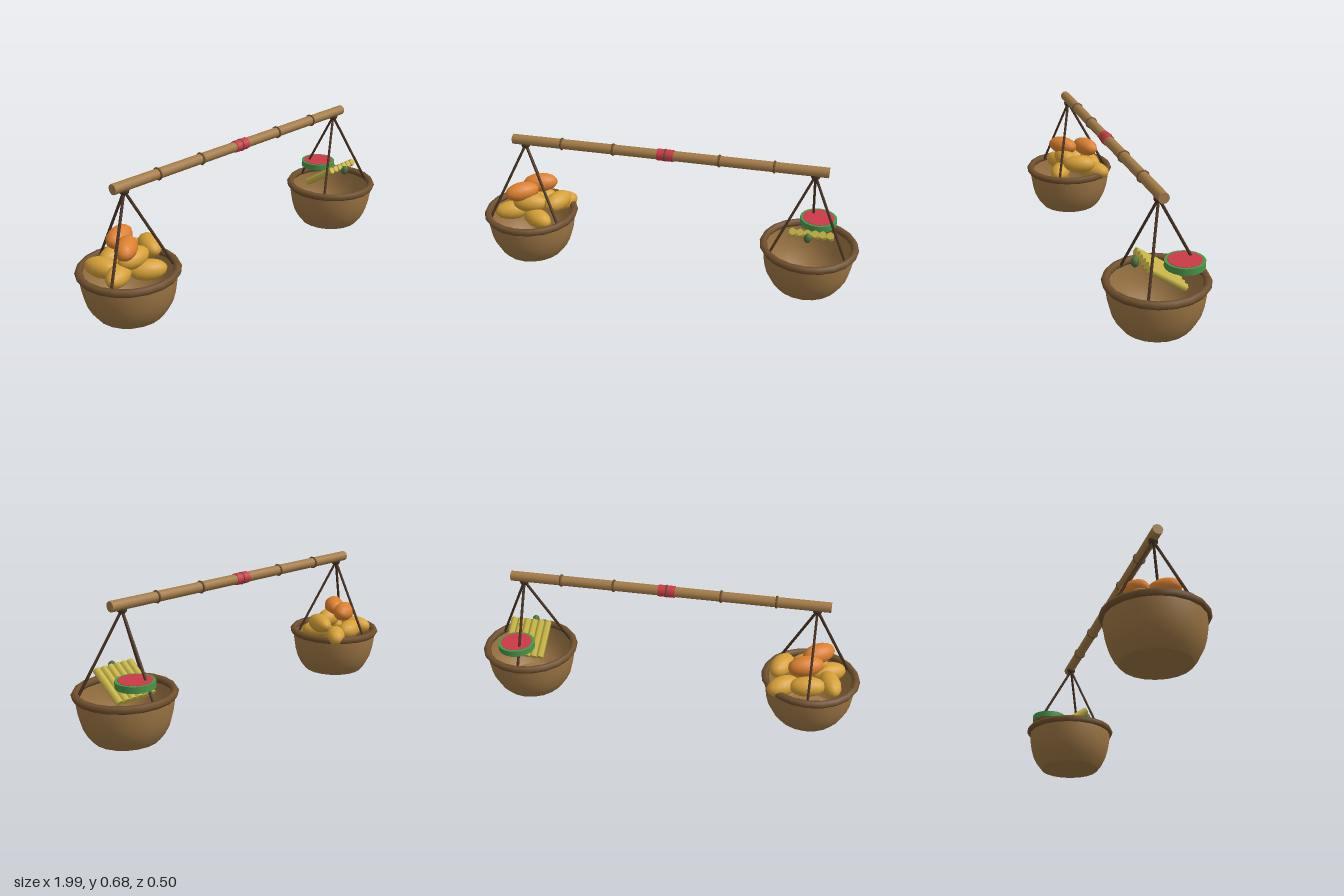
import * as THREE from 'three';

const mat = (name, color, side = THREE.FrontSide) => {
  const m = new THREE.MeshStandardMaterial({ color, side });
  m.name = name;
  return m;
};

export function createModel() {
  const bamboo = mat('bamboo', 0xa57c48);
  const wicker = mat('wicker', 0x9c7544, THREE.DoubleSide);
  const rimBrown = mat('rim brown', 0x70502e);
  const ropeBrown = mat('rope brown', 0x4c3524);
  const mangoYellow = mat('mango yellow', 0xd6a038);
  const orange = mat('orange', 0xdc8030);
  const red = mat('red', 0xcc3a48);
  const rindGreen = mat('rind green', 0x48964a);
  const leafGreen = mat('leaf green', 0x4a6e38);
  const cane = mat('cane yellow', 0xc8b545);

  const root = new THREE.Group();
  root.name = 'carryingPole';

  const add = (parent, name, geo, material, x = 0, y = 0, z = 0) => {
    const m = new THREE.Mesh(geo, material);
    m.name = name;
    m.position.set(x, y, z);
    parent.add(m);
    return m;
  };

  // Round bar between two points
  const bar = (parent, name, a, b, r, sides, material) => {
    const d = new THREE.Vector3().subVectors(b, a);
    const m = add(parent, name, new THREE.CylinderGeometry(r, r, d.length(), sides), material);
    m.position.addVectors(a, b).multiplyScalar(0.5);
    m.quaternion.setFromUnitVectors(new THREE.Vector3(0, 1, 0), d.normalize());
    return m;
  };
  const V = (x, y, z) => new THREE.Vector3(x, y, z);

  // Shoulder pole with joints and the red grip
  const poleY = 0.645;
  bar(root, 'pole', V(-0.81, poleY, 0), V(0.81, poleY, 0), 0.026, 10, bamboo);
  bar(root, 'grip', V(-0.042, poleY, 0), V(0.042, poleY, 0), 0.03, 10, red);
  for (const x of [-0.545, -0.272, 0, 0.272, 0.545]) {
    const ring = add(root, 'poleJoint', new THREE.TorusGeometry(0.027, 0.006, 6, 10), rimBrown, x, poleY, 0);
    ring.rotation.y = Math.PI / 2;
  }

  // Basket with rim, knot and three ropes
  const profile = [[0.162, 0], [0.187, 0.032], [0.209, 0.075], [0.222, 0.122], [0.23, 0.175], [0.231, 0.222]]
    .map(([r, y]) => new THREE.Vector2(r, y));
  const makeBasket = (name, x) => {
    const g = new THREE.Group();
    g.name = name;
    g.position.x = x;
    root.add(g);
    add(g, 'bowl', new THREE.LatheGeometry(profile, 20), wicker);
    const base = add(g, 'bowlBase', new THREE.CircleGeometry(0.162, 20), wicker);
    base.rotation.x = Math.PI / 2;
    const rim = add(g, 'rim', new THREE.TorusGeometry(0.231, 0.019, 6, 20), rimBrown, 0, 0.224, 0);
    rim.rotation.x = Math.PI / 2;
    add(g, 'knot', new THREE.SphereGeometry(0.024, 8, 6), ropeBrown, 0, 0.622, 0);
    for (let i = 0; i < 3; i++) {
      const a = Math.PI / 6 + i * Math.PI * 2 / 3;
      bar(g, 'rope', V(0, 0.62, 0), V(0.215 * Math.cos(a), 0.222, 0.215 * Math.sin(a)), 0.007, 6, ropeBrown);
    }
    return g;
  };
  const fruitBasket = makeBasket('fruitBasket', -0.745);
  const caneBasket = makeBasket('caneBasket', 0.745);

  // Heaped fruit: x, y, z, turn about y
  const fruit = (name, material, list) => {
    for (const [x, y, z, turn] of list) {
      const m = add(fruitBasket, name, new THREE.SphereGeometry(1, 14, 10), material, x, y, z);
      m.scale.set(0.092, 0.05, 0.053);
      m.rotation.y = turn;
    }
  };
  fruit('mango', mangoYellow, [
    [0.01, 0.292, 0.03, 0.15],
    [0.148, 0.293, -0.02, 1.2],
    [0.13, 0.237, -0.12, 0.7],
    [-0.1, 0.245, -0.07, 1.9],
    [-0.09, 0.24, 0.04, 0.5],
    [0.01, 0.25, -0.12, 0.2],
    [0.06, 0.225, 0.07, -0.5],
  ]);
  fruit('orangeFruit', orange, [
    [-0.03, 0.354, 0.03, 0.7],
    [0.027, 0.353, -0.092, 0.4],
  ]);

  // Leaning row of cane sticks with a green knot
  for (let i = 0; i < 6; i++) {
    const x = (i - 2.5) * 0.037 + 0.01;
    bar(caneBasket, 'caneStick', V(x, 0.222, -0.098), V(x, 0.34, 0.074), 0.019, 6, cane);
  }
  const tie = add(caneBasket, 'caneKnot', new THREE.SphereGeometry(0.022, 8, 6), leafGreen, -0.005, 0.327, 0.102);
  tie.scale.set(0.9, 1.15, 0.9);

  // Melon slice: rind with flesh on both faces
  add(caneBasket, 'melonRind', new THREE.CylinderGeometry(0.094, 0.094, 0.032, 20), rindGreen, 0.03, 0.306, -0.121);
  add(caneBasket, 'melonFlesh', new THREE.CylinderGeometry(0.08, 0.08, 0.036, 20), red, 0.03, 0.306, -0.121);

  return root;
}
